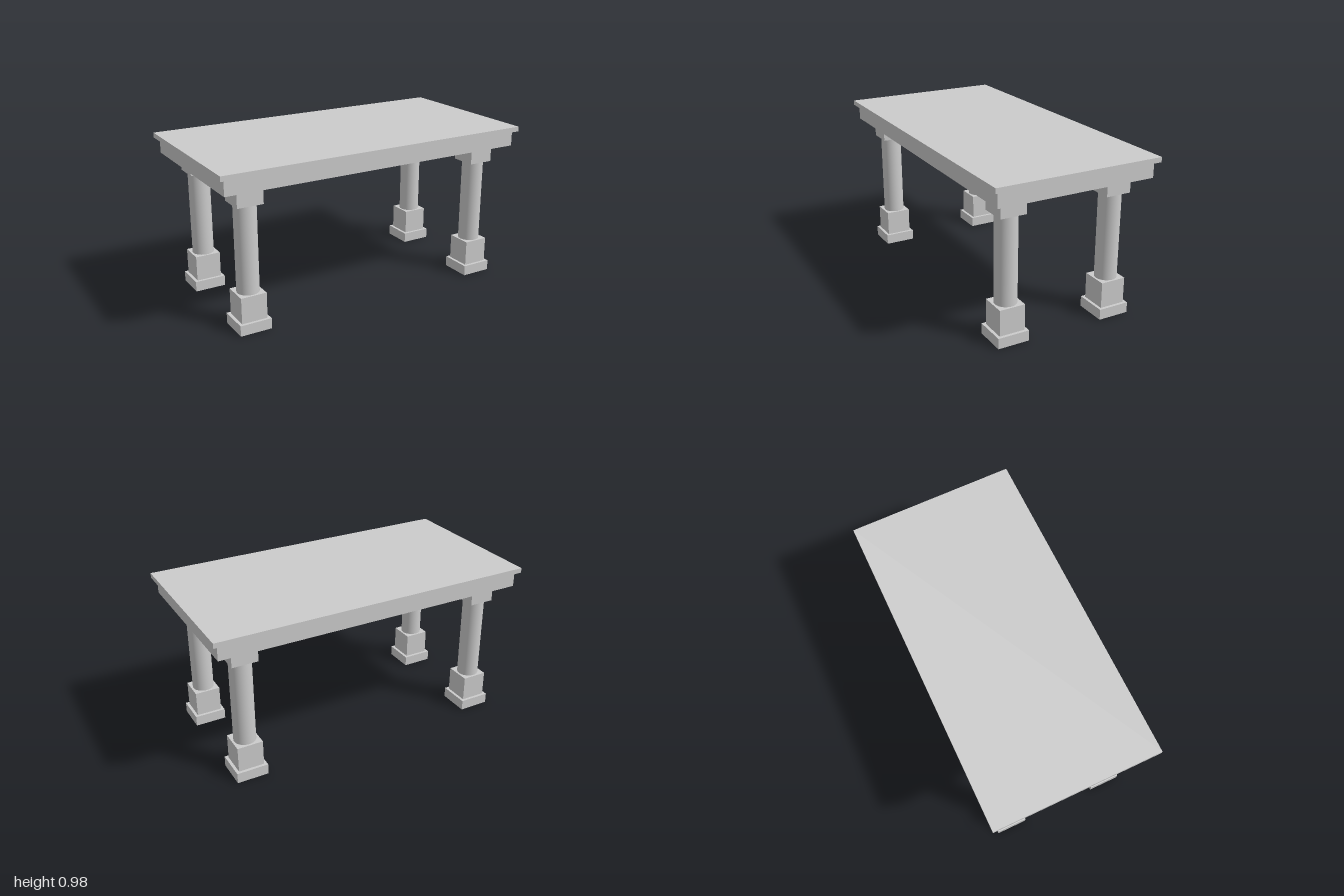
import * as THREE from 'three';

const material = new THREE.MeshStandardMaterial({ color: 0xcccccc });

// Adds a geometry of the given height whose underside sits at y = bottom
function addPart(parent, name, geometry, bottom, top) {
  const mesh = new THREE.Mesh(geometry, material);
  mesh.name = name;
  mesh.position.y = (bottom + top) / 2;
  parent.add(mesh);
}

function addSlab(parent, name, width, depth, bottom, top) {
  addPart(parent, name, new THREE.BoxGeometry(width, top - bottom, depth), bottom, top);
}

// One leg: plinth, square pedestal, round column and square capital
function createLeg(name) {
  const leg = new THREE.Group();
  leg.name = name;
  addSlab(leg, 'plinth', 0.193, 0.193, 0, 0.064);
  addSlab(leg, 'pedestal', 0.157, 0.157, 0.064, 0.221);
  addPart(leg, 'column', new THREE.CylinderGeometry(0.066, 0.066, 0.526, 48), 0.221, 0.747);
  addSlab(leg, 'capital', 0.157, 0.157, 0.747, 0.852);
  return leg;
}

export function createModel() {
  const table = new THREE.Group();
  table.name = 'table';

  // Top board and the solid apron beneath it
  addSlab(table, 'tableTop', 2, 1.025, 0.945, 0.975);
  addSlab(table, 'apron', 1.944, 0.972, 0.852, 0.945);

  // Four legs, mirrored to the corners
  for (const [sideName, x] of [['Left', 1], ['Right', -1]]) {
    for (const [endName, z] of [['front', 1], ['back', -1]]) {
      const leg = createLeg(endName + sideName + 'Leg');
      leg.position.set(x * 0.795, 0, z * 0.335);
      table.add(leg);
    }
  }
  return table;
}
